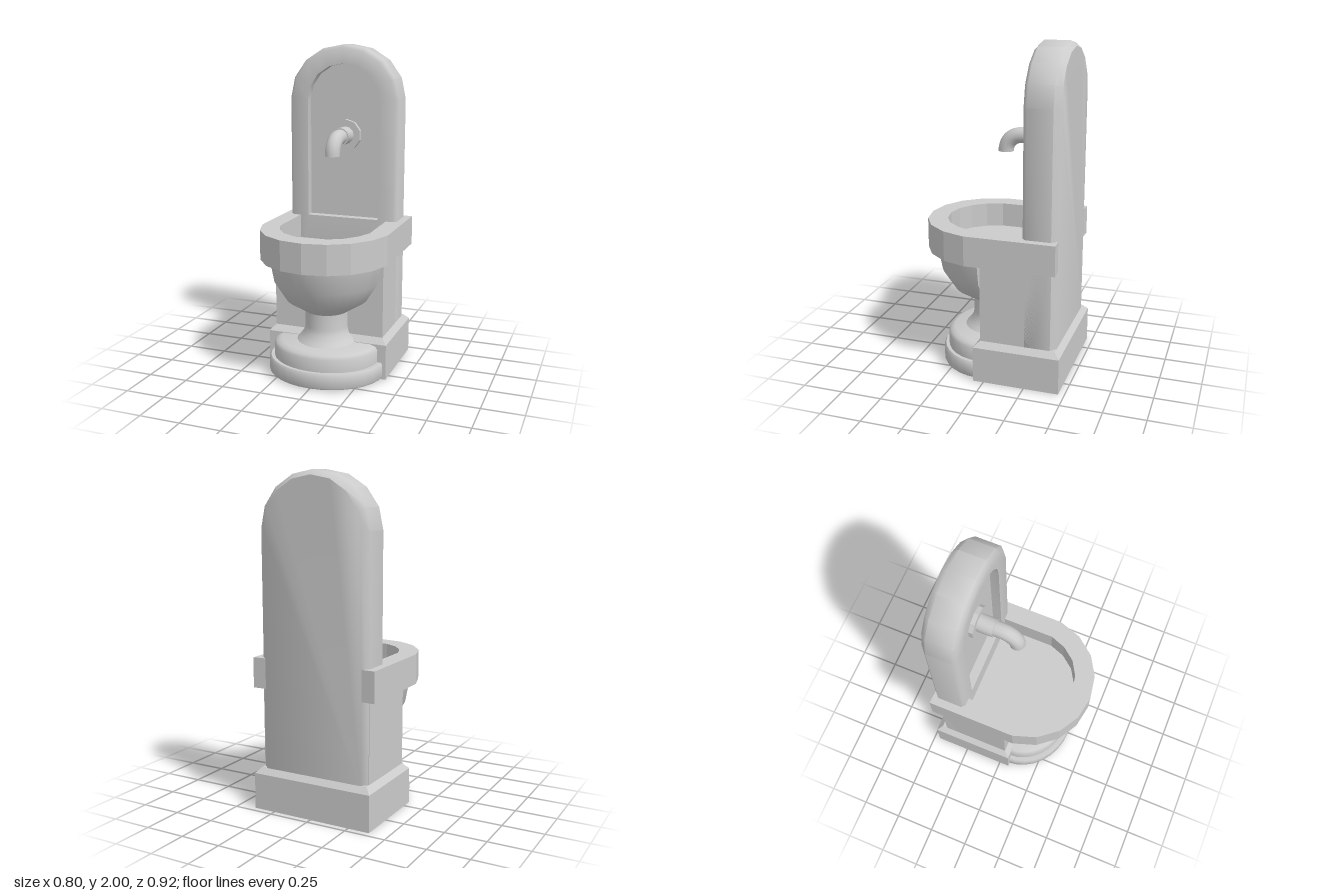
import * as THREE from 'three';
import { toCreasedNormals } from 'three/addons/utils/BufferGeometryUtils.js';

const grey = new THREE.MeshStandardMaterial({ color: 0xcccccc, side: THREE.DoubleSide });

function add(group, name, geometry, crease = 0.8) {
  const mesh = new THREE.Mesh(toCreasedNormals(geometry, crease), grey);
  mesh.name = name;
  group.add(mesh);
  return mesh;
}

// Skin a series of closed rings with equal point counts, fan-capping both ends.
function loft(rings) {
  const n = rings[0].length, index = [];
  const positions = rings.flat(2);
  rings.slice(1).forEach((_, r) => {
    for (let i = 0; i < n; i++) {
      const a = r * n + i, b = r * n + (i + 1) % n;
      index.push(a, b, b + n, a, b + n, a + n);
    }
  });
  const last = (rings.length - 1) * n;
  for (let i = 1; i < n - 1; i++) {
    index.push(0, i + 1, i, last, last + i, last + i + 1);
  }
  const g = new THREE.BufferGeometry();
  g.setAttribute('position', new THREE.Float32BufferAttribute(positions, 3));
  g.setIndex(index);
  return g;
}

// Round-headed outline, counter-clockwise seen from the front.
function archRing(halfWidth, bottom, spring, rise, z) {
  const ring = [[-halfWidth, bottom, z], [halfWidth, bottom, z]];
  for (let i = 0; i <= 8; i++) {
    const a = i * Math.PI / 8;
    ring.push([halfWidth * Math.cos(a), spring + rise * Math.sin(a), z]);
  }
  return ring;
}

// Horizontal rectangle, counter-clockwise seen from above.
const rectRing = (hw, back, front, y) =>
  [[-hw, y, front], [hw, y, front], [hw, y, back], [-hw, y, back]];

// Half-turned body facing the front, closed by a flat back.
function halfTurned(group, name, points, depthScale, z) {
  const pts = points.map(([x, y]) => new THREE.Vector2(x, y));
  const lathe = new THREE.LatheGeometry(pts, 16, -Math.PI / 2, Math.PI);
  const outline = [...pts, ...pts.slice().reverse().map(p => new THREE.Vector2(-p.x, p.y))];
  const back = new THREE.ShapeGeometry(new THREE.Shape(outline)).rotateY(Math.PI);
  for (const [g, part] of [[lathe, name], [back, name + 'Back']]) {
    g.scale(1, 1, depthScale).translate(0, 0, z);
    add(group, part, g);
  }
}

// Plan outlines, right half from the straight side to the front tip.
const rimOuter = [[0.4, 0.11], [0.353, 0.25], [0.262, 0.364], [0.142, 0.435], [0, 0.46]];
const rimInner = [[0.285, 0.095], [0.25, 0.19], [0.187, 0.27], [0.1, 0.322], [0, 0.34]];
const planOutline = (half, back) => {
  const side = [[half[0][0], back], ...half];
  return [...side, ...side.slice(0, -1).reverse().map(([x, z]) => [-x, z])]
    .map(([x, z]) => new THREE.Vector2(x, z));
};
function planSlab(points, top, height) {
  return new THREE.ExtrudeGeometry(new THREE.Shape(points), { depth: height, bevelEnabled: false })
    .rotateX(Math.PI / 2).translate(0, top, 0);
}

export function createModel() {
  const group = new THREE.Group();
  group.name = 'wallFountain';

  // Pedestal block with a stepped, sloped plinth
  add(group, 'pedestal', loft([
    rectRing(0.385, -0.463, 0.065, 0),
    rectRing(0.385, -0.463, 0.065, 0.22),
    rectRing(0.352, -0.43, 0.03, 0.255),
  ]), 0.6);
  add(group, 'pedestalBlock', loft([
    rectRing(0.352, -0.4, 0.03, 0.25),
    rectRing(0.352, -0.4, 0.03, 0.76),
  ]));

  // Arched back slab with softened edges and a sunken panel
  add(group, 'backSlab', loft([
    archRing(0.315, 0.23, 1.67, 0.3, -0.432),
    archRing(0.352, 0.23, 1.67, 0.33, -0.397),
    archRing(0.352, 0.23, 1.67, 0.33, -0.245),
    archRing(0.332, 0.23, 1.67, 0.31, -0.225),
    archRing(0.232, 0.925, 1.66, 0.225, -0.225),
    archRing(0.232, 0.925, 1.66, 0.225, -0.28),
  ]));

  // U-shaped basin rim clasping the slab, and the basin floor
  add(group, 'basinRim', planSlab(
    [...planOutline(rimOuter, -0.434), ...planOutline(rimInner, -0.428).reverse()], 0.92, 0.182), 0.3);
  add(group, 'basinFloor', planSlab(planOutline(rimInner, -0.3), 0.77, 0.03), 0.3);

  // Bowl and stem
  halfTurned(group, 'bowl', [
    [0, 0.2], [0.2, 0.2], [0.18, 0.222], [0.165, 0.24], [0.14, 0.275], [0.133, 0.31], [0.133, 0.405],
    [0.25, 0.48], [0.325, 0.6], [0.352, 0.745], [0, 0.745],
  ], 1.02, 0.048);

  // Stepped half-round foot
  halfTurned(group, 'lowerStep', [
    [0, 0.01], [0.36, 0.01], [0.366, 0.02], [0.366, 0.092], [0.355, 0.107], [0, 0.107],
  ], 0.87, 0.05);
  halfTurned(group, 'upperStep', [
    [0, 0.1], [0.333, 0.1], [0.333, 0.185], [0.32, 0.205], [0.29, 0.216], [0, 0.22],
  ], 0.87, 0.05);

  // Spout: wall flange, collar and down-turned pipe
  const spout = new THREE.Group();
  spout.name = 'spout';
  spout.position.set(0.008, 1.445, 0);
  group.add(spout);
  add(spout, 'flange', new THREE.CylinderGeometry(0.098, 0.098, 0.03, 10)
    .rotateX(Math.PI / 2).translate(0, 0, -0.268), 0.3);
  add(spout, 'collar', new THREE.CylinderGeometry(0.055, 0.055, 0.12, 12)
    .rotateX(Math.PI / 2).translate(0, 0, -0.215));
  const path = new THREE.CurvePath();
  path.add(new THREE.LineCurve3(new THREE.Vector3(0, 0, -0.17), new THREE.Vector3(0, 0, -0.125)));
  path.add(new THREE.CubicBezierCurve3(
    new THREE.Vector3(0, 0, -0.125), new THREE.Vector3(0, 0, -0.065),
    new THREE.Vector3(0, -0.04, -0.022), new THREE.Vector3(0, -0.1, -0.022)));
  add(spout, 'pipe', new THREE.TubeGeometry(path, 14, 0.047, 12));
  add(spout, 'pipeEnd', new THREE.CircleGeometry(0.047, 12)
    .rotateX(Math.PI / 2).translate(0, -0.1, -0.022));

  return group;
}
